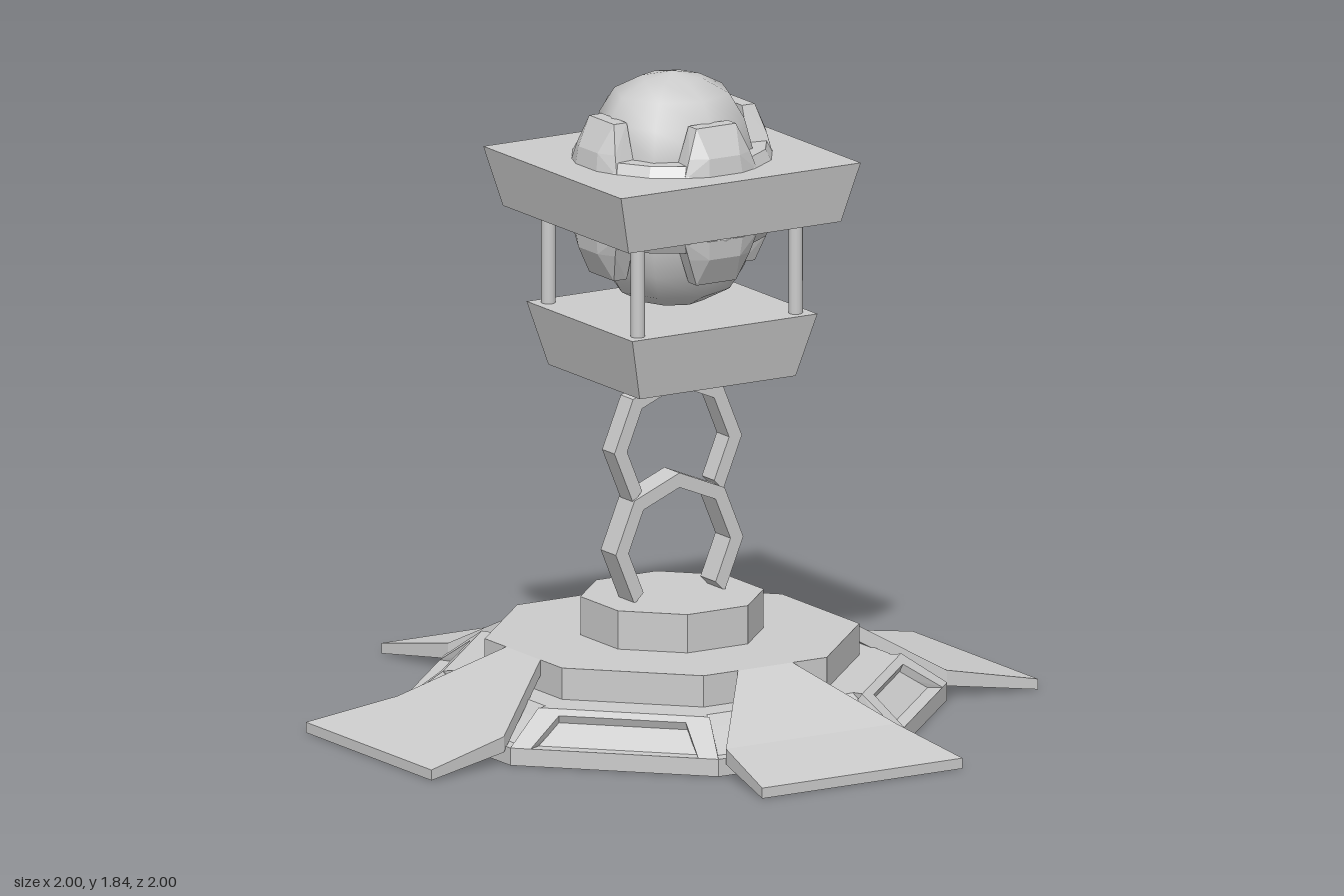
import * as THREE from 'three';
import { ConvexGeometry } from 'three/addons/geometries/ConvexGeometry.js';

const flat = new THREE.MeshStandardMaterial({ color: 0xcccccc, flatShading: true });
const smooth = new THREE.MeshStandardMaterial({ color: 0xcccccc });
const OCT = 1 / Math.cos(Math.PI / 8); // apothem to corner radius

function add(parent, name, geometry, material = flat) {
  const mesh = new THREE.Mesh(geometry, material);
  mesh.name = name;
  parent.add(mesh);
  return mesh;
}

// Solid through a few corner points
const hull = (pts) => new ConvexGeometry(pts.map((p) => new THREE.Vector3(...p)));

// Symmetric block: each row is [halfWidth, y, z], used at +x and -x
const wedge = (rows) => hull(rows.flatMap(([w, y, z]) => [[w, y, z], [-w, y, z]]));

// Tapered rectangular block
function tray(y0, x0, z0, y1, x1, z1) {
  return wedge([[x0, y0, z0], [x0, y0, -z0], [x1, y1, z1], [x1, y1, -z1]]);
}

// Eight-sided turned body, profile given as [apothem, y]
function octagonBody(profile) {
  const pts = profile.map(([a, y]) => new THREE.Vector2(a * OCT, y));
  return new THREE.LatheGeometry(pts, 8, Math.PI / 8);
}

// Three quarters of an octagonal ring, open at the bottom
function openLink(outer, inner, depth) {
  const shape = new THREE.Shape();
  const at = (r, i) => {
    const a = -Math.PI / 4 + (i * Math.PI) / 4;
    return [r * Math.cos(a), r * Math.sin(a)];
  };
  shape.moveTo(...at(outer, 0));
  for (let i = 1; i <= 6; i++) shape.lineTo(...at(outer, i));
  for (let i = 6; i >= 0; i--) shape.lineTo(...at(inner, i));
  return new THREE.ExtrudeGeometry(shape, { depth, bevelEnabled: false }).translate(0, 0, -depth / 2);
}

function buildBase() {
  const base = new THREE.Group();
  base.name = 'base';
  // Stepped body with a shallow hollow underneath
  add(base, 'baseBody', octagonBody([
    [0, 0.04], [0.68, 0.04], [0.68, 0], [0.72, 0], [0.72, 0.05], [0.68, 0.05],
    [0.6, 0.11], [0.57, 0.14], [0.49, 0.14], [0.49, 0.23], [0, 0.23],
  ]));
  add(base, 'plinth', octagonBody([[0.24, 0.22], [0.24, 0.34], [0, 0.34]]));

  for (let i = 0; i < 4; i++) {
    // Bent, flaring leg plates on the four main sides
    const leg = new THREE.Group();
    leg.name = 'legPlate';
    leg.rotation.y = (i * Math.PI) / 2;
    add(leg, 'legSlope', wedge([
      [0.09, 0.23, 0.49], [0.09, 0.185, 0.49], [0.28, 0.08, 0.73], [0.28, 0.035, 0.73],
    ]));
    add(leg, 'legFoot', wedge([
      [0.28, 0.08, 0.73], [0.28, 0.035, 0.73], [0.33, 0.03, 1], [0.33, 0, 1],
    ]));
    base.add(leg);

    // Raised frames on the four diagonal sides
    const frame = new THREE.Group();
    frame.name = 'cornerFrame';
    frame.rotation.y = Math.PI / 4 + (i * Math.PI) / 2;
    for (const s of [1, -1]) {
      add(frame, 'frameSide', hull([
        [s * 0.298, 0.05, 0.72], [s * 0.24, 0.05, 0.72], [s * 0.245, 0.14, 0.6], [s * 0.17, 0.14, 0.6],
        [s * 0.29, 0.04, 0.68], [s * 0.23, 0.04, 0.68], [s * 0.24, 0.1, 0.57], [s * 0.17, 0.1, 0.57],
      ]));
    }
    add(frame, 'frameTop', wedge([
      [0.24, 0.14, 0.6], [0.24, 0.125, 0.62], [0.23, 0.14, 0.57], [0.23, 0.08, 0.6],
    ]));
    base.add(frame);
  }
  return base;
}

function buildOrb() {
  const orb = new THREE.Group();
  orb.name = 'orb';
  orb.position.y = 1.505;
  const half = [[0, 0.337], [0.09, 0.318], [0.165, 0.28], [0.208, 0.21], [0.23, 0.13], [0.24, 0]];
  const profile = [...half, ...half.slice(0, -1).reverse().map(([r, y]) => [r, -y])].reverse();
  add(orb, 'core', new THREE.LatheGeometry(profile.map((p) => new THREE.Vector2(...p)), 8), smooth);

  // Belt around the middle
  const belt = [[0.22, -0.125], [0.268, -0.125], [0.287, -0.09], [0.287, 0.09], [0.268, 0.125], [0.22, 0.125]];
  add(orb, 'belt', new THREE.LatheGeometry(belt.map((p) => new THREE.Vector2(...p)), 16));

  // Claws leaning over the core, above and below the belt
  for (const s of [1, -1]) {
    for (let i = 0; i < 4; i++) {
      const claw = add(orb, 'claw', wedge([
        [0.12, s * 0.09, 0.257], [0.055, s * 0.09, 0.284], [0.1, s * 0.145, 0.25], [0.05, s * 0.145, 0.277],
        [0.065, s * 0.225, 0.232], [0.065, s * 0.225, 0.19], [0.11, s * 0.09, 0.19],
      ]));
      claw.rotation.y = (i * Math.PI) / 2;
    }
  }
  return orb;
}

export function createModel() {
  const model = new THREE.Group();
  model.name = 'pedestalLantern';
  model.add(buildBase());

  // Stacked links forming the stem
  add(model, 'lowerLink', openLink(0.21, 0.168, 0.08)).position.y = 0.483;
  add(model, 'upperLink', openLink(0.21, 0.168, 0.065)).position.y = 0.773;

  // Cage: two flared trays joined by corner posts
  add(model, 'lowerTray', tray(0.98, 0.257, 0.24, 1.16, 0.305, 0.278));
  add(model, 'upperTray', tray(1.43, 0.35, 0.33, 1.6, 0.395, 0.362));
  for (const x of [-0.26, 0.26]) {
    for (const z of [-0.235, 0.235]) {
      add(model, 'post', new THREE.CylinderGeometry(0.02, 0.02, 0.3, 12), smooth).position.set(x, 1.295, z);
    }
  }

  model.add(buildOrb());
  return model;
}
